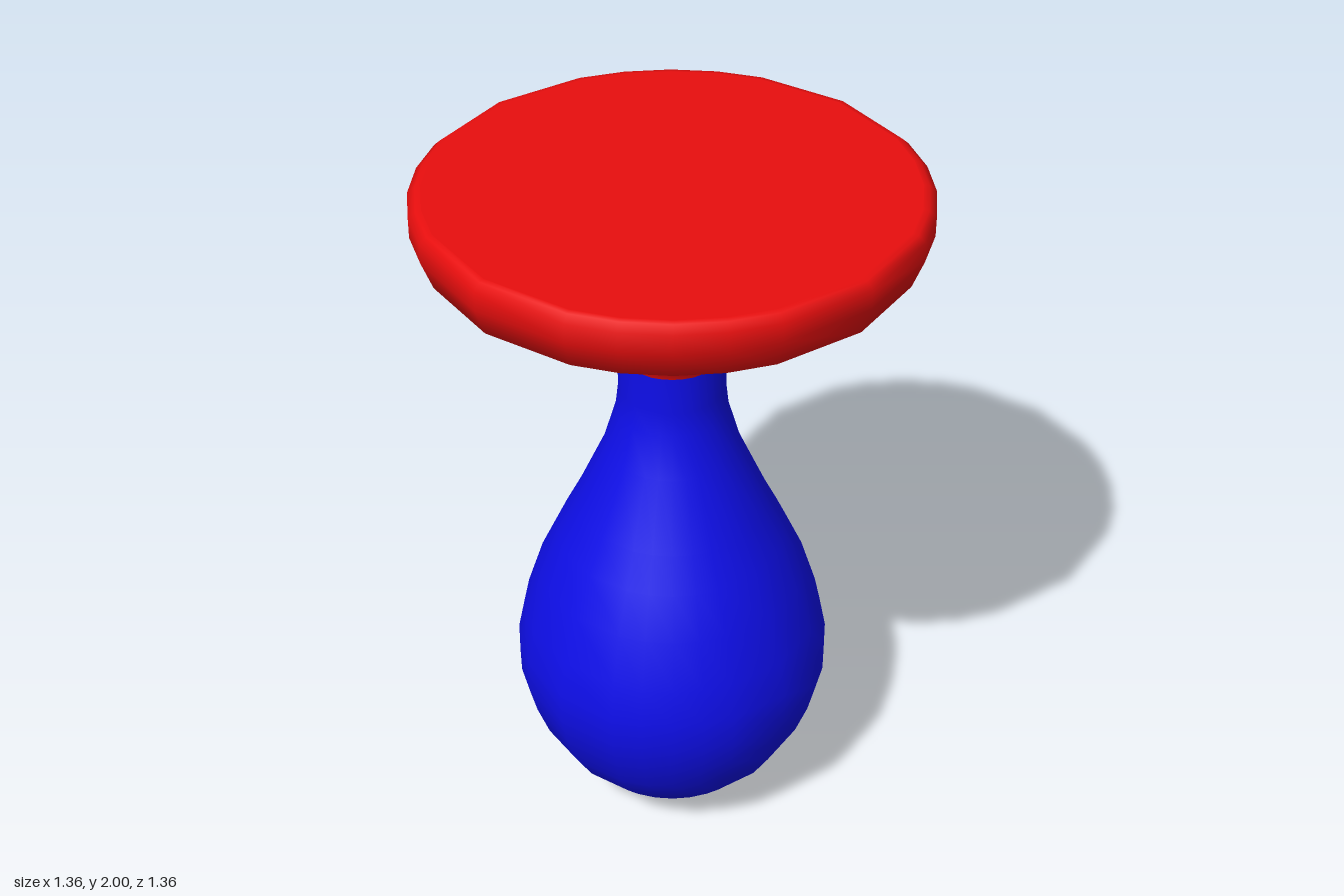
import * as THREE from 'three';

const RED = 0xe80e0e, BLUE = 0x0e0ee8, GREY = 0xcccccc;

// Spoke angles of one quarter turn, in degrees: wider steps beside each axis
const QUARTER = [0, 22.5, 33.75, 45, 56.25, 67.5];

// Smooth turned shape; profile runs from bottom to top as [radius, y]
function turned(name, profile, color, segments) {
  const pts = profile.map(([r, y]) => new THREE.Vector2(r, y));
  const geo = new THREE.LatheGeometry(pts, segments);
  const mesh = new THREE.Mesh(geo, new THREE.MeshStandardMaterial({ color }));
  mesh.name = name;
  return mesh;
}

// Shift the spokes of a 24-sided turned shape to the uneven quarter steps
function respace(mesh) {
  const { position, normal } = mesh.geometry.attributes;
  const rows = position.count / 25;
  for (let i = 0; i < position.count; i++) {
    const spoke = Math.floor(i / rows);
    const a = THREE.MathUtils.degToRad(QUARTER[spoke % 6] + 90 * Math.floor(spoke / 6));
    const turn = a - spoke * Math.PI / 12;
    for (const attr of [position, normal]) {
      const v = new THREE.Vector3().fromBufferAttribute(attr, i);
      v.applyAxisAngle(new THREE.Vector3(0, 1, 0), turn);
      attr.setXYZ(i, v.x, v.y, v.z);
    }
  }
  return mesh;
}

export function createModel() {
  const model = new THREE.Group();
  model.name = 'hangingBag';

  // Teardrop bag
  model.add(respace(turned('bag', [
    [0, 0.005], [0.08, 0.012], [0.17, 0.04], [0.26, 0.095], [0.335, 0.175],
    [0.39, 0.265], [0.425, 0.36], [0.446, 0.45], [0.446, 0.545], [0.425, 0.65],
    [0.38, 0.79], [0.325, 0.91], [0.275, 1.01], [0.19, 1.2], [0.155, 1.32],
    [0.147, 1.39], [0.147, 1.5],
  ], BLUE, 24)));

  // Collar and dish, with a rounded rim
  model.add(respace(turned('dish', [
    [0.147, 1.5], [0.157, 1.53], [0.205, 1.59], [0.229, 1.613], [0.223, 1.637],
    [0.25, 1.655], [0.285, 1.677], [0.4, 1.722], [0.545, 1.782], [0.65, 1.847],
    [0.68, 1.925], [0.68, 1.98], [0.66, 1.998], [0.645, 2],
  ], RED, 24)));

  // Flat top face
  model.add(respace(turned('topFace', [[0.645, 2], [0, 2]], RED, 24)));

  // Small fitting under the dish, square to its sloping underside
  const fitting = new THREE.Group();
  fitting.name = 'fitting';
  const tilt = THREE.MathUtils.degToRad(23);
  const out = new THREE.Vector3(-0.44, 0, 0.16).normalize();
  const axis = out.multiplyScalar(Math.sin(tilt)).setY(-Math.cos(tilt));
  fitting.position.set(-0.435, 1.737, 0.16);
  fitting.quaternion.setFromUnitVectors(new THREE.Vector3(0, 1, 0), axis);
  fitting.add(turned('flange', [
    [0.11, -0.025], [0.126, -0.008], [0.126, 0.004], [0.105, 0.016], [0.06, 0.024], [0, 0.026],
  ], RED, 20));
  const knob = new THREE.Mesh(
    new THREE.CylinderGeometry(0.057, 0.057, 0.065, 16),
    new THREE.MeshStandardMaterial({ color: GREY }),
  );
  knob.name = 'knob';
  knob.position.y = 0.036;
  fitting.add(knob);
  model.add(fitting);

  return model;
}
